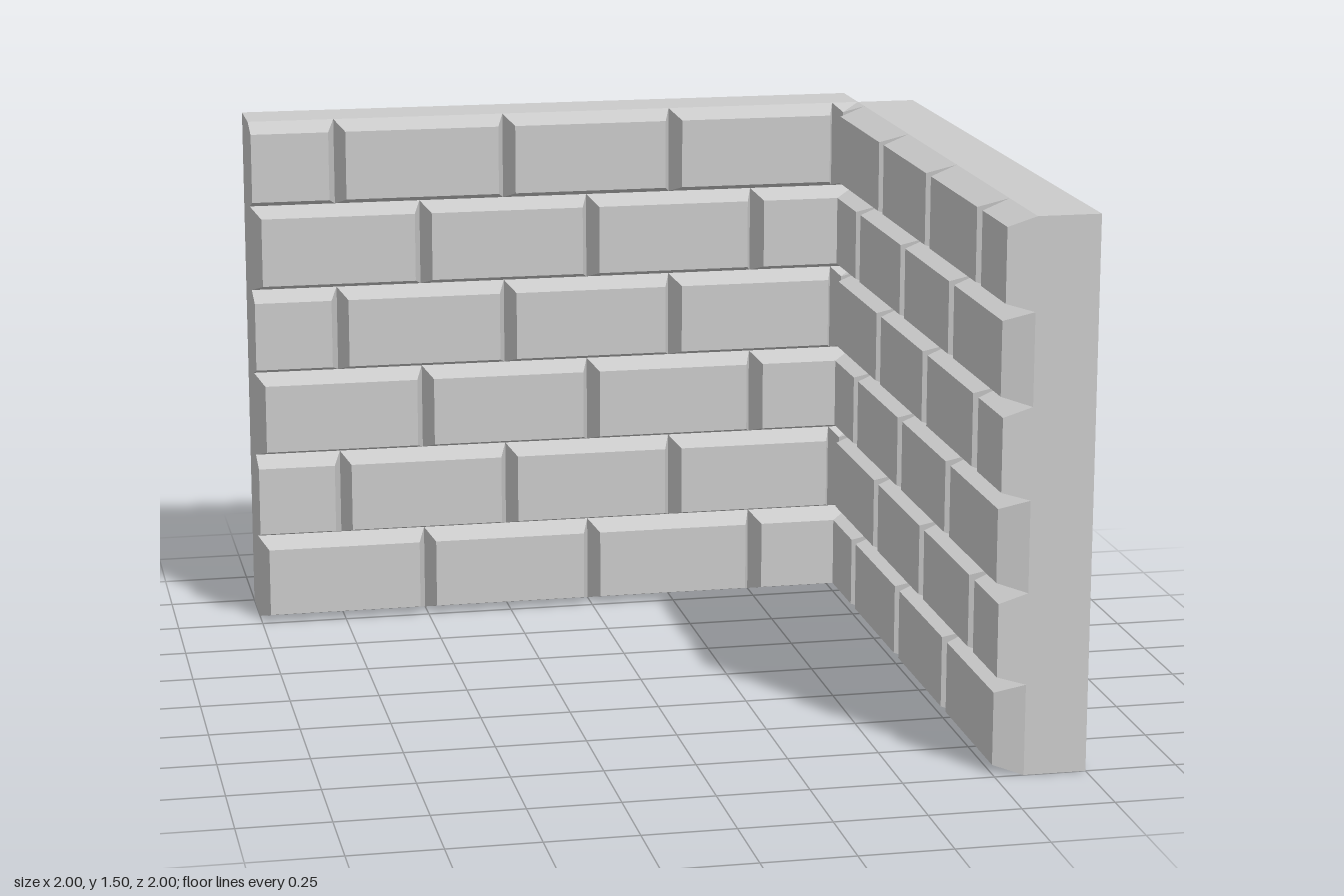
import * as THREE from 'three';

const ROW = 0.25, LENGTH = 0.5, BEVEL = 0.025, DEPTH = 0.08, ROWS = 6;
const FREE = -1, CORNER = 0.83, FACE = -0.83;

const material = new THREE.MeshStandardMaterial({ color: 0xcccccc, flatShading: true });

// A brick tapering from its base on the slab to a smaller front face.
// base and front are the [start, end] along the wall; side mirrors the wall.
function brick(base, front, y, depth, bevel, side) {
  const geometry = new THREE.BoxGeometry(1, 1, 1);
  const p = geometry.attributes.position;
  for (let i = 0; i < p.count; i++) {
    const isFront = p.getZ(i) > 0;
    const end = p.getX(i) * side > 0 ? 1 : 0;
    const inset = isFront ? bevel : 0;
    p.setXYZ(
      i,
      side * (isFront ? front : base)[end],
      p.getY(i) > 0 ? y + ROW - inset : y + inset,
      FACE + (isFront ? depth : 0)
    );
  }
  geometry.computeVertexNormals();
  const mesh = new THREE.Mesh(geometry, material);
  mesh.name = 'brick';
  return mesh;
}

// One wall: a plain slab with staggered bricks on its inner face
function wall(name, side) {
  const group = new THREE.Group();
  group.name = name;

  const slab = new THREE.Mesh(
    new THREE.BoxGeometry(CORNER - FREE, ROW * ROWS, FACE + 1), material);
  slab.name = 'slab';
  slab.position.set(side * (FREE + CORNER) / 2, ROW * ROWS / 2, (FACE - 1) / 2);
  group.add(slab);

  for (let row = 0; row < ROWS; row++) {
    const offset = row % 2 ? LENGTH / 2 : 0;
    for (let start = FREE - offset; start < CORNER; start += LENGTH) {
      const end = start + LENGTH;
      const cutStart = start < FREE;       // half brick, flush at the free end
      const mitred = end > CORNER;         // cut at 45 degrees in the corner
      const startTaper = cutStart ? 0 : BEVEL;
      const endTaper = mitred ? DEPTH : BEVEL;
      const base = [Math.max(start, FREE), Math.min(end, CORNER)];
      // Short corner bricks close to a wedge before reaching full depth
      const t = Math.min(1, (base[1] - base[0]) / (startTaper + endTaper));
      const front = [base[0] + startTaper * t, base[1] - endTaper * t];
      group.add(brick(base, front, row * ROW, DEPTH * t, BEVEL * t, side));
    }
  }
  return group;
}

export function createModel() {
  const model = new THREE.Group();
  model.name = 'brickWallCorner';
  const sideWall = wall('sideWall', -1);
  sideWall.rotation.y = -Math.PI / 2;
  model.add(wall('backWall', 1), sideWall);
  return model;
}
